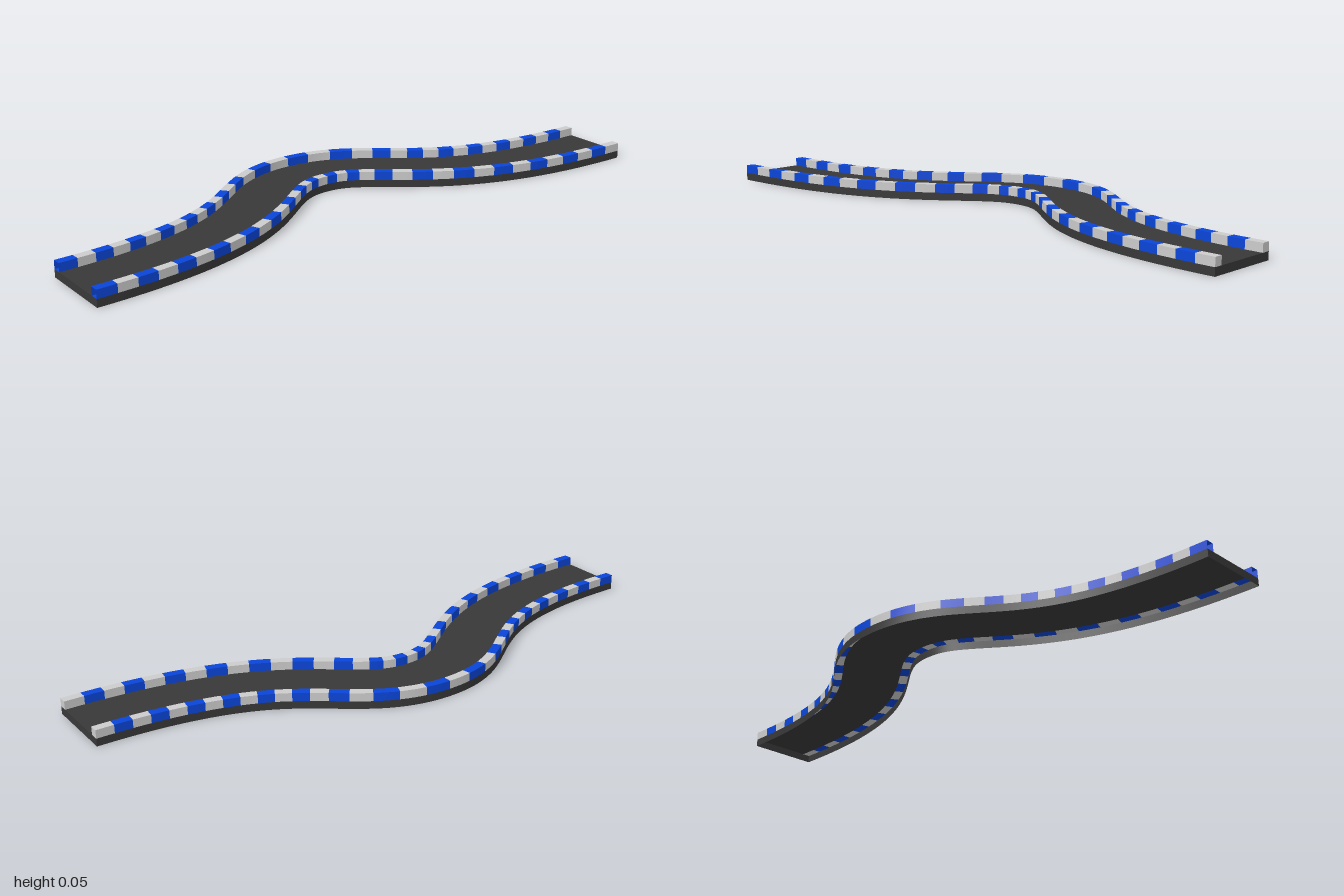
import * as THREE from 'three';
import { mergeGeometries } from 'three/addons/utils/BufferGeometryUtils.js';

const STRIPES = 36, STEPS = 4, N = STRIPES * STEPS;
const HALF = 0.1225, KERB = 0.028, DECK = 0.025, TOP = 0.052;

// S-bend centreline from back (z = -1) to front (z = 1), in the ground plane
const END = 0.1675, A = 0.29, B = 0.74;
const bend = new THREE.CurvePath();
const v = (x, z) => new THREE.Vector3(x, 0, z);
bend.add(new THREE.CubicBezierCurve3(v(END, -1), v(END, -1 + B), v(-END, -A), v(-END, 0)));
bend.add(new THREE.CubicBezierCurve3(v(-END, 0), v(-END, A), v(END, 1 - B), v(END, 1)));

const frames = [];
for (let i = 0; i <= N; i++) {
  const p = bend.getPointAt(i / N), t = bend.getTangentAt(i / N);
  frames.push({ p, nx: t.z, nz: -t.x });
}

// Point on the track at station i, sideways offset o (towards +x) and height y
const at = (i, [o, y]) => {
  const f = frames[i];
  return [f.p.x + f.nx * o, y, f.p.z + f.nz * o];
};

function surface(positions, index) {
  const g = new THREE.BufferGeometry();
  g.setAttribute('position', new THREE.Float32BufferAttribute(positions, 3));
  g.setIndex(index);
  g.computeVertexNormals();
  return g;
}

// Sweep each edge of a profile as its own strip, so its corners stay sharp
function sweep(profile, from, to) {
  const strips = [];
  for (let k = 0; k + 1 < profile.length; k++) {
    const pos = [], index = [];
    for (let i = from; i <= to; i++) {
      pos.push(...at(i, profile[k]), ...at(i, profile[k + 1]));
      if (i < to) {
        const a = (i - from) * 2;
        index.push(a, a + 2, a + 3, a, a + 3, a + 1);
      }
    }
    strips.push(surface(pos, index));
  }
  return strips;
}

// Flat cross-wall closing the track at station i
function cap(i, o0, o1, y0, y1, front) {
  const corners = [[o0, y0], [o1, y0], [o1, y1], [o0, y1]];
  return surface(corners.flatMap(c => at(i, c)), front ? [0, 1, 2, 0, 2, 3] : [0, 2, 1, 0, 3, 2]);
}

export function createModel() {
  const group = new THREE.Group();
  const material = color => new THREE.MeshStandardMaterial({ color, side: THREE.DoubleSide });
  const asphalt = material(0x383838), blue = material(0x0a45d8), grey = material(0xcccccc);

  const add = (name, parts, mat) => {
    const mesh = new THREE.Mesh(mergeGeometries(parts), mat);
    mesh.name = name;
    group.add(mesh);
  };

  // Road deck with side skirts and end walls, open underneath
  const inner = HALF - KERB;
  add('roadDeck', sweep([[-inner, DECK], [inner, DECK]], 0, N), asphalt);
  add('sideSkirts', [
    ...sweep([[HALF, DECK], [HALF, 0]], 0, N),
    ...sweep([[-HALF, 0], [-HALF, DECK]], 0, N),
  ], asphalt);
  add('endWalls', [
    cap(0, -HALF, HALF, 0, DECK, false),
    cap(N, -HALF, HALF, 0, DECK, true),
  ], asphalt);

  // Striped barriers: closed grey blocks alternating with blue sleeves
  for (const [name, o0, o1] of [['rightBarrier', -HALF, -inner], ['leftBarrier', inner, HALF]]) {
    const profile = [[o0, TOP], [o1, TOP], [o1, DECK], [o0, DECK], [o0, TOP]];
    const greyParts = [], blueParts = [];
    for (let s = 0; s < STRIPES; s++) {
      const from = s * STEPS, to = from + STEPS;
      if (s % 2) blueParts.push(...sweep(profile, from, to));
      else greyParts.push(...sweep(profile, from, to),
        cap(from, o0, o1, DECK, TOP, false), cap(to, o0, o1, DECK, TOP, true));
    }
    add(name + 'Grey', greyParts, grey);
    add(name + 'Blue', blueParts, blue);
  }
  return group;
}
